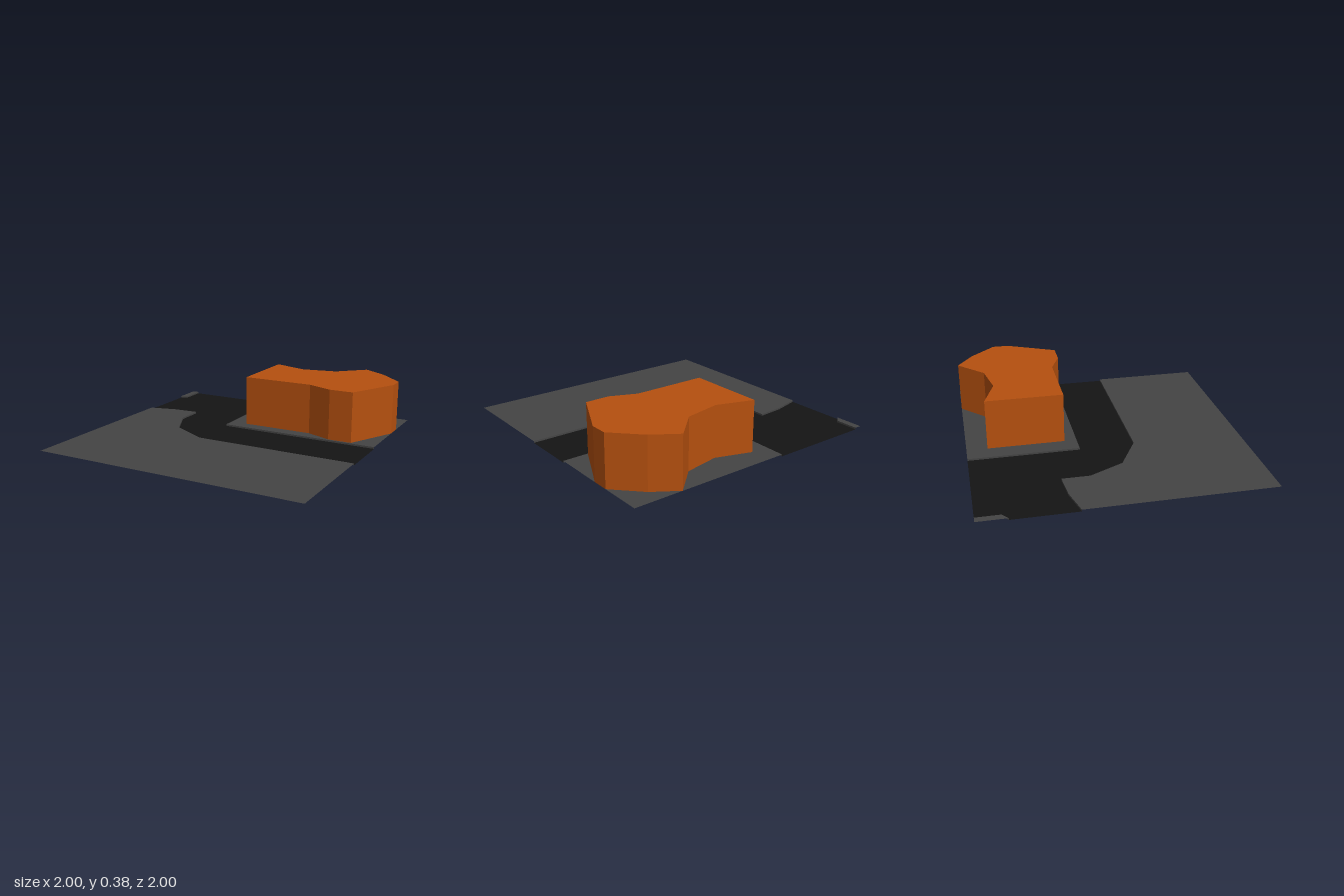
import * as THREE from 'three';

const GROUND = 0x444444, ASPHALT = 0x141414, ORANGE = 0xb5500f;
const KERB = 0.013, ROOF = 0.385;

const material = (color) =>
  new THREE.MeshStandardMaterial({ color, flatShading: true, side: THREE.DoubleSide });

// Flat polygon from [x, z] corners, facing up at height y
function slab(name, points, y, color) {
  const shape = new THREE.Shape(points.map(([x, z]) => new THREE.Vector2(x, -z)));
  const geometry = new THREE.ShapeGeometry(shape).rotateX(-Math.PI / 2).translate(0, y, 0);
  const mesh = new THREE.Mesh(geometry, material(color));
  mesh.name = name;
  return mesh;
}

// Upright faces along a line of [x, z] corners, between two heights
function wall(name, points, y0, y1, color, closed = false) {
  const line = closed ? [...points, points[0]] : points;
  const position = [];
  for (let i = 0; i < line.length - 1; i++) {
    const [ax, az] = line[i], [bx, bz] = line[i + 1];
    position.push(ax, y0, az, bx, y0, bz, bx, y1, bz, ax, y0, az, bx, y1, bz, ax, y1, az);
  }
  const geometry = new THREE.BufferGeometry();
  geometry.setAttribute('position', new THREE.Float32BufferAttribute(position, 3));
  geometry.computeVertexNormals();
  const mesh = new THREE.Mesh(geometry, material(color));
  mesh.name = name;
  return mesh;
}

export function createModel() {
  const model = new THREE.Group();
  model.name = 'roadTile';

  // Kerb lines shared by the road and the ground beside it
  const outerKerb = [[-1, -0.335], [-0.8, -0.385], [-0.6, -0.4], [-0.6, -0.2],
    [-0.475, 0.05], [-0.2, 0.2], [1, 0.2]];
  const innerKerb = [[1, -0.2], [-0.2, -0.2], [-0.2, -1]];
  const cornerKerb = [[-0.95, -1], [-0.95, -0.83], [-1, -0.79]];

  // Building outline, anticlockwise seen from above, starting at the back tip
  const backWest = [[0.645, -1], [0.45, -0.815], [0.19, -0.765], [-0.07, -0.85]];
  const front = [[-0.07, -0.29], [0.46, -0.29], [0.645, -0.215], [0.82, -0.215], [1, -0.58]];
  const east = [[1, -0.7], [0.82, -0.885]];
  const outline = [...backWest, ...front, ...east];

  // Sunken road
  model.add(slab('road', [...outerKerb, ...innerKerb, ...cornerKerb], 0, ASPHALT));

  // Raised ground; the plot is left open beneath the building
  model.add(
    slab('frontGround', [...outerKerb, [1, 1], [-1, 1]], KERB, GROUND),
    slab('cornerGround', [...cornerKerb, [-1, -1]], KERB, GROUND),
    slab('buildingPlot', [...backWest, ...front, ...innerKerb], KERB, GROUND),
    slab('plotCorner', [[0.645, -1], [1, -1], ...east], KERB, GROUND)
  );

  // Kerbs
  model.add(
    wall('outerKerb', outerKerb, 0, KERB, GROUND),
    wall('innerKerb', innerKerb, 0, KERB, GROUND),
    wall('cornerKerb', cornerKerb, 0, KERB, GROUND)
  );

  // Hollow building, open below
  const building = new THREE.Group();
  building.name = 'building';
  building.add(
    wall('walls', outline, KERB, ROOF, ORANGE, true),
    slab('roof', outline, ROOF, ORANGE)
  );
  model.add(building);
  return model;
}
